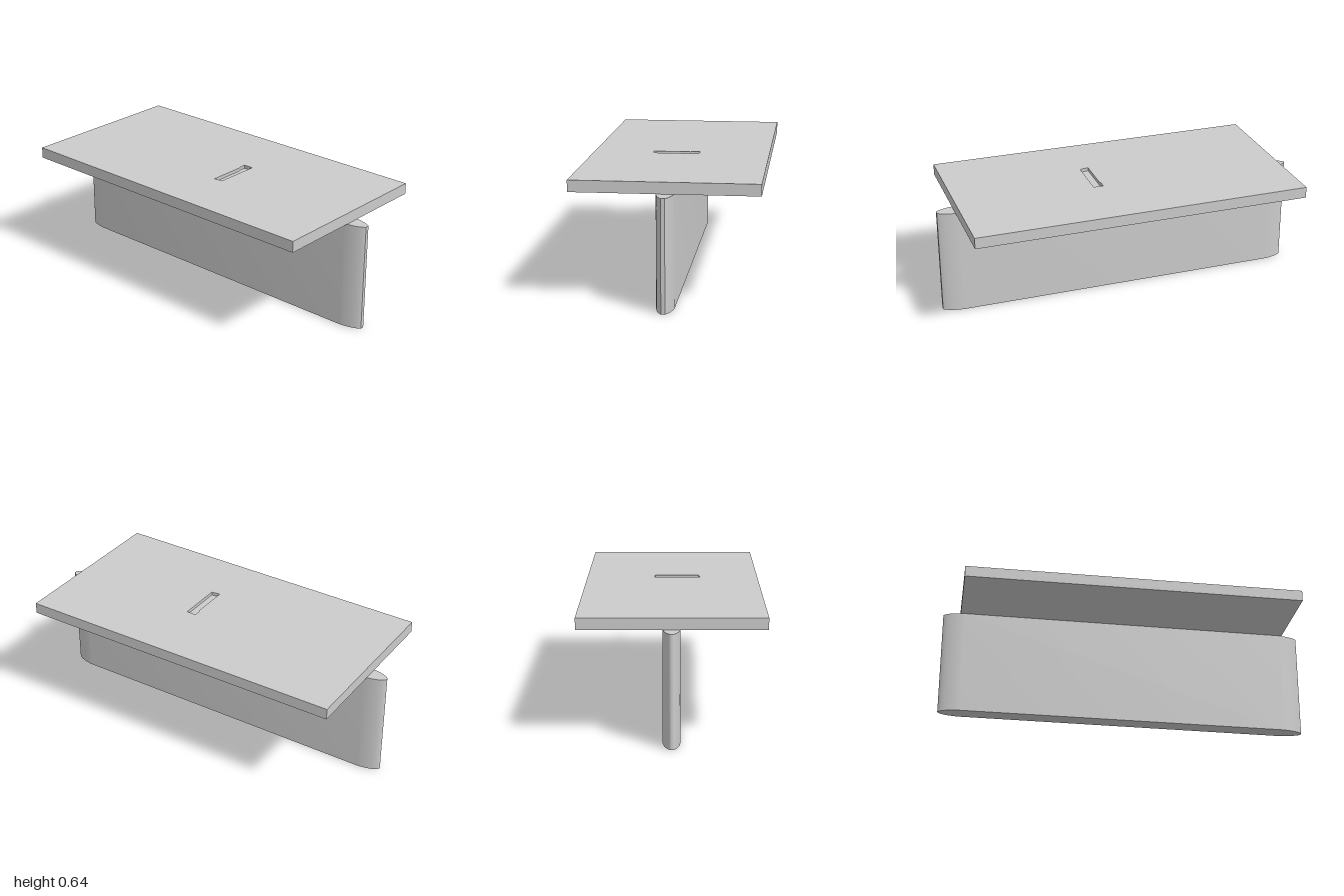
import * as THREE from 'three';
import { toCreasedNormals } from 'three/addons/utils/BufferGeometryUtils.js';

const DECK_BOTTOM = 0.578, DECK_TOP = 0.638, SLOT_DEPTH = 0.018;
const grey = new THREE.MeshStandardMaterial({ color: 0xcccccc });

// Plan outlines are [x, z] points; shape y is -z so the extrusion rises along +y
const plan = (points) => points.map(([x, z]) => new THREE.Vector2(x, -z));

function prism(name, shape, y0, y1) {
  const extruded = new THREE.ExtrudeGeometry(shape, {
    depth: y1 - y0, bevelEnabled: false, curveSegments: 10,
  });
  extruded.rotateX(-Math.PI / 2);
  const mesh = new THREE.Mesh(toCreasedNormals(extruded, 0.5), grey);
  mesh.position.y = y0;
  mesh.name = name;
  return mesh;
}

export function createModel() {
  const model = new THREE.Group();
  model.name = 'pierWithDeck';

  // Long pier wall with a rounded nose at each end
  const wall = new THREE.Shape();
  wall.moveTo(0.05, -0.89);
  wall.bezierCurveTo(0.046, -0.94, 0.03, -0.985, 0.015, -1);
  wall.lineTo(-0.005, -1);
  wall.bezierCurveTo(-0.022, -0.985, -0.038, -0.94, -0.042, -0.89);
  wall.lineTo(-0.043, 0.89);
  wall.bezierCurveTo(-0.04, 0.95, -0.02, 1, 0, 1);
  wall.bezierCurveTo(0.02, 1, 0.04, 0.95, 0.045, 0.89);
  wall.closePath();
  model.add(prism('pierWall', wall, 0, DECK_BOTTOM));

  // Deck slab: solid lower layer and an upper layer cut by a shallow slot
  const outline = plan([[-0.475, 0.91], [0.473, 0.905], [0.467, -0.908], [-0.47, -0.905]]);
  const slot = plan([[-0.155, 0.115], [0.045, 0.115], [0.055, 0.11], [0.095, 0.109],
    [0.095, 0.163], [-0.147, 0.163]]);
  const top = new THREE.Shape(outline);
  top.holes.push(new THREE.Path(slot));

  const deck = new THREE.Group();
  deck.name = 'deck';
  const slotFloor = DECK_TOP - SLOT_DEPTH;
  deck.add(prism('deckBase', new THREE.Shape(outline), DECK_BOTTOM, slotFloor));
  deck.add(prism('deckTopWithSlot', top, slotFloor, DECK_TOP));
  model.add(deck);

  return model;
}
